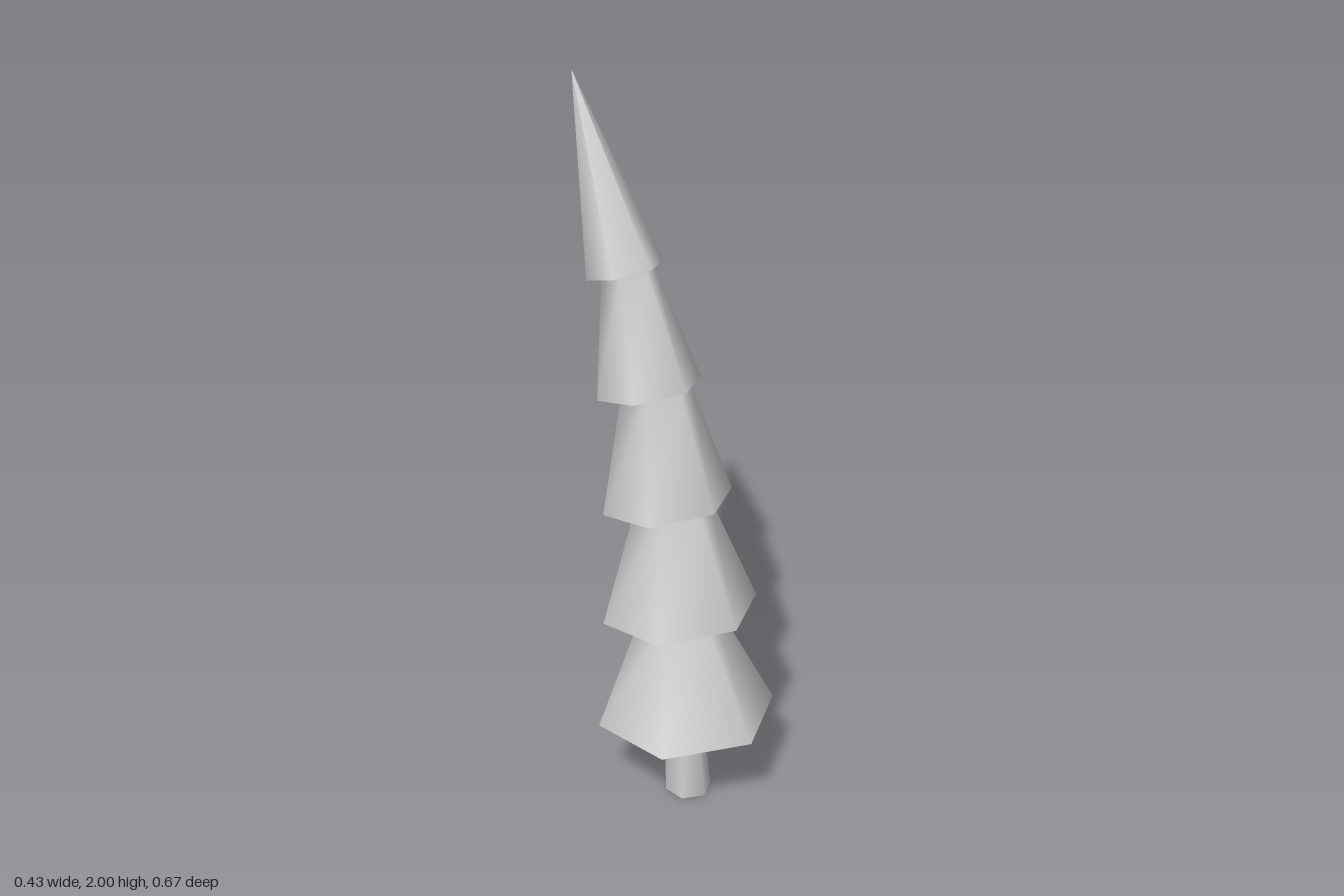
import * as THREE from 'three';

const SIDES = 6;

// One tilted hexagonal ring: [front z, front y, back z, back y, radius]
function ringPoints([fz, fy, bz, by, radius]) {
  const pts = [];
  for (let i = 0; i < SIDES; i++) {
    const a = (i / SIDES) * Math.PI * 2, t = (1 - Math.cos(a)) / 2;
    pts.push(radius * Math.sin(a), fy + (by - fy) * t, fz + (bz - fz) * t);
  }
  return pts;
}

// Smooth open shell between a lower and an upper ring
function shell(lower, upper) {
  const index = [];
  for (let i = 0; i < SIDES; i++) {
    const j = (i + 1) % SIDES;
    index.push(i, j, SIDES + j, i, SIDES + j, SIDES + i);
  }
  const g = new THREE.BufferGeometry();
  g.setAttribute('position', new THREE.Float32BufferAttribute([...ringPoints(lower), ...ringPoints(upper)], 3));
  g.setIndex(index);
  g.computeVertexNormals();
  return g;
}

export function createModel() {
  const model = new THREE.Group();
  model.name = 'leaningFirTree';
  const grey = new THREE.MeshStandardMaterial({ color: 0xcccccc, side: THREE.DoubleSide });
  grey.name = 'lightGrey';

  const add = (name, geometry) => {
    const mesh = new THREE.Mesh(geometry, grey);
    mesh.name = name;
    model.add(mesh);
    return mesh;
  };

  // Trunk, reaching a little way inside the lowest tier
  add('trunk', shell([0.16, 0, 0.03, 0, 0.065], [0.118, 0.36, 0.022, 0.36, 0.049]));
  const base = add('trunkBase', new THREE.CircleGeometry(0.065, SIDES, Math.PI / 2));
  base.rotation.x = Math.PI / 2;
  base.position.z = 0.095;

  // Hollow branch tiers from bottom to tip, each ending inside the next
  const tiers = [
    [[0.335, 0.265, -0.16, 0.24, 0.25], [0.147, 0.59, -0.047, 0.57, 0.098]],
    [[0.272, 0.6, -0.15, 0.548, 0.216], [0.13, 0.905, -0.075, 0.875, 0.102]],
    [[0.185, 0.92, -0.16, 0.858, 0.179], [0.06, 1.225, -0.128, 1.182, 0.094]],
    [[0.08, 1.235, -0.195, 1.165, 0.141], [-0.066, 1.53, -0.205, 1.485, 0.072]],
    [[-0.048, 1.54, -0.245, 1.475, 0.104], [-0.336, 2, -0.337, 2, 0.0005]],
  ];
  tiers.forEach(([lower, upper], i) => add(`branchTier${i + 1}`, shell(lower, upper)));

  return model;
}
